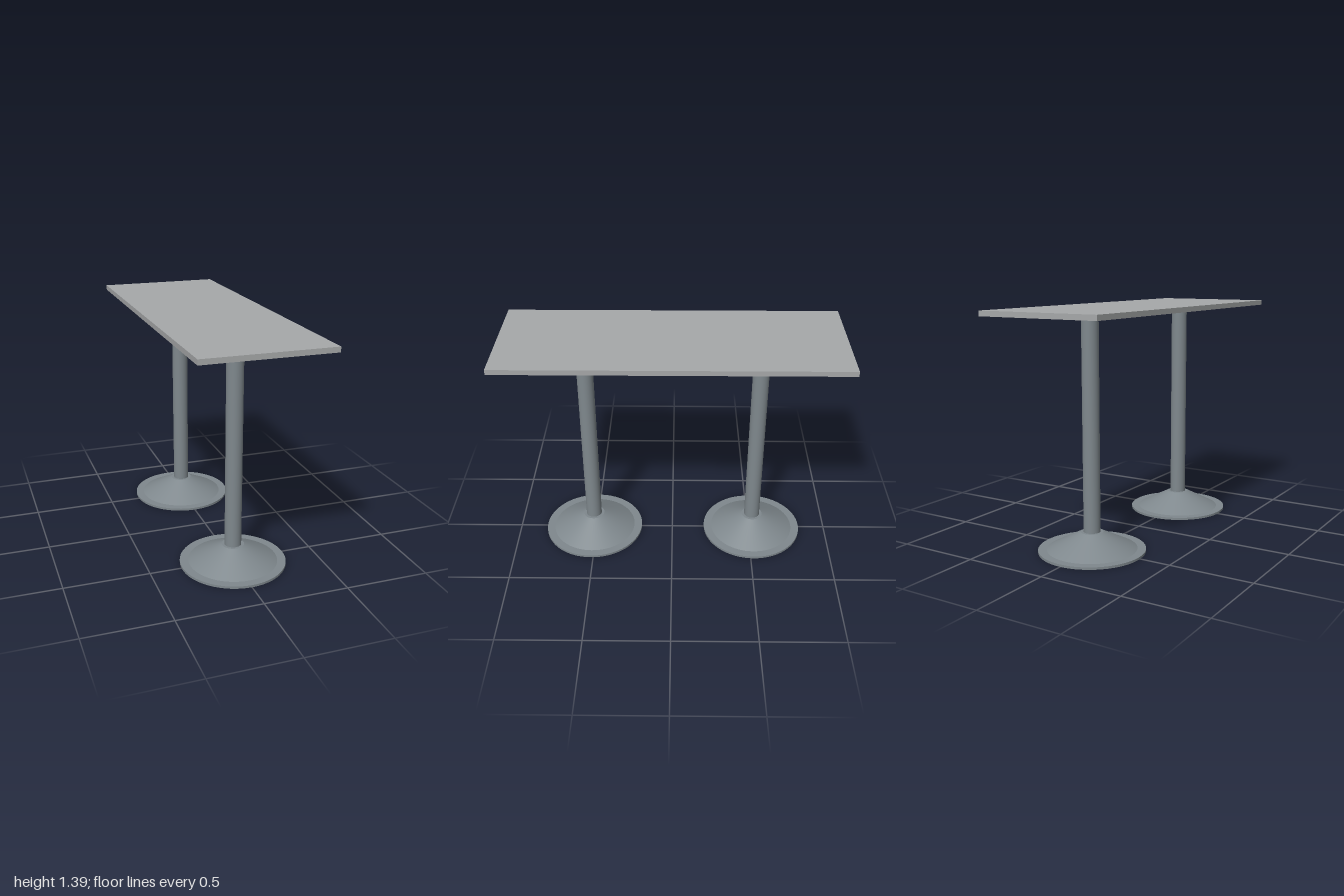
import * as THREE from 'three';

export function createModel() {
  const model = new THREE.Group();
  model.name = 'pedestalTable';

  const topGrey = new THREE.MeshStandardMaterial({ color: 0xa6a8a9 });
  topGrey.name = 'top grey';
  const metal = new THREE.MeshStandardMaterial({ color: 0x7f888d });
  metal.name = 'blue-grey metal';

  const add = (parent, name, geometry, material, y) => {
    const mesh = new THREE.Mesh(geometry, material);
    mesh.name = name;
    mesh.position.y = y;
    parent.add(mesh);
  };

  // Long rectangular slab
  add(model, 'tableTop', new THREE.BoxGeometry(0.746, 0.03, 2), topGrey, 1.375);

  // Two pedestals: flat disc, conical foot and round post
  for (const [name, z] of [['front', 0.513], ['back', -0.52]]) {
    const pedestal = new THREE.Group();
    pedestal.name = name + 'Pedestal';
    pedestal.position.z = z;
    add(pedestal, 'baseDisc', new THREE.CylinderGeometry(0.312, 0.312, 0.014, 64), metal, 0.007);
    add(pedestal, 'baseCone', new THREE.CylinderGeometry(0.066, 0.262, 0.101, 64), metal, 0.0645);
    add(pedestal, 'post', new THREE.CylinderGeometry(0.049, 0.049, 1.25, 48), metal, 0.735);
    model.add(pedestal);
  }
  return model;
}
